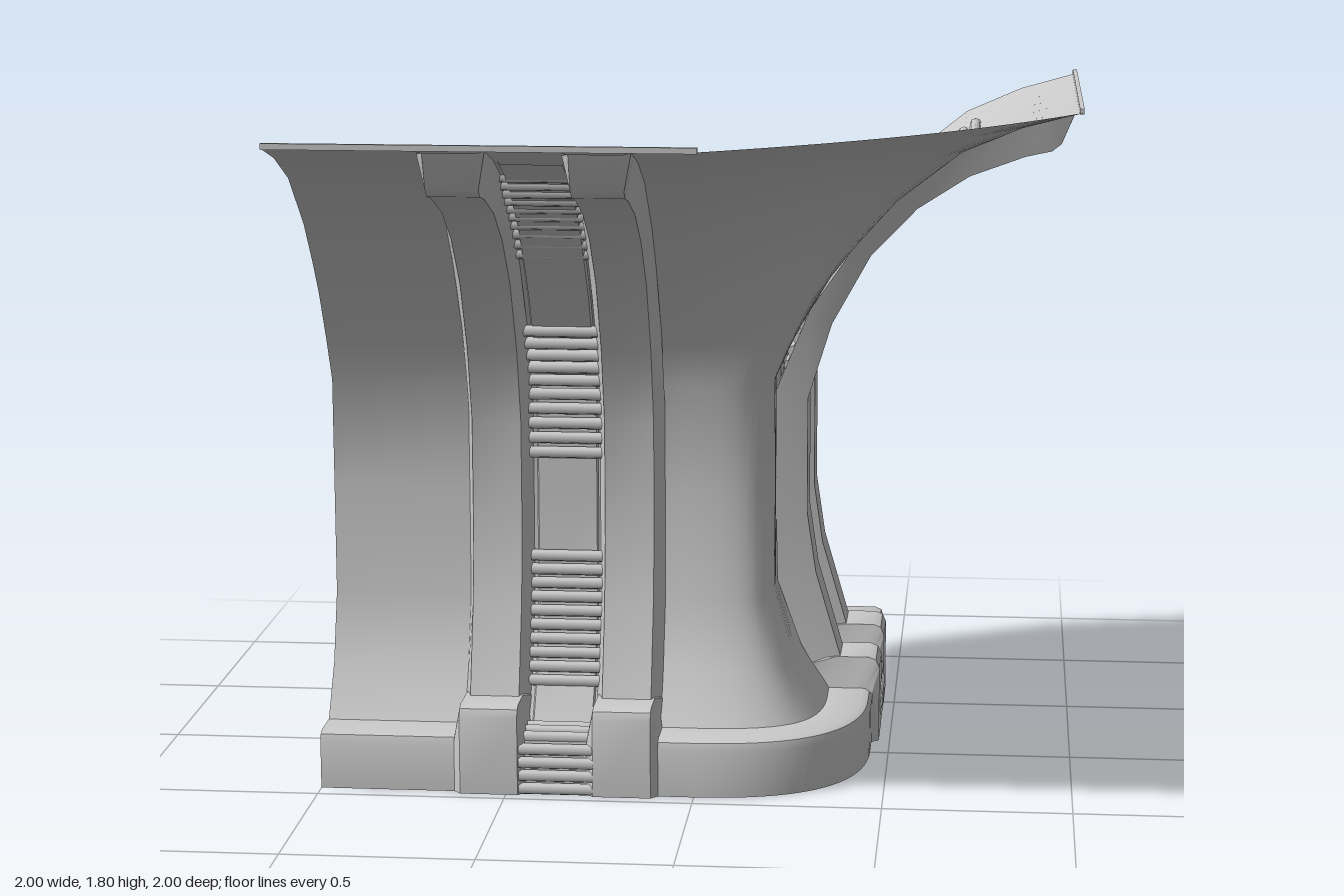
import * as THREE from 'three';
import { toCreasedNormals } from 'three/addons/utils/BufferGeometryUtils.js';

const material = new THREE.MeshStandardMaterial({ color: 0xcccccc, side: THREE.DoubleSide });

// Wall profile as [distance outwards, height], from the top edge to the floor
const profile = [
  [1, 1.785], [0.84, 1.74], [0.68, 1.67], [0.505, 1.53], [0.4, 1.41], [0.33, 1.32],
  [0.245, 1.18], [0.18, 1.06], [0.18, 0.77], [0.18, 0.475], [0.24, 0.29], [0.33, 0.155],
  [0.425, 0.155], [0.443, 0.147], [0.45, 0.125], [0.45, 0],
];

// Rows of points joined into a sheet
function loft(rows, crease) {
  const cols = rows[0].length, index = [];
  for (let j = 0; j < rows.length - 1; j++) {
    for (let i = 0; i < cols - 1; i++) {
      const a = j * cols + i, b = a + cols;
      index.push(a, b, a + 1, a + 1, b, b + 1);
    }
  }
  const g = new THREE.BufferGeometry();
  g.setAttribute('position', new THREE.Float32BufferAttribute(rows.flat(2), 3));
  g.setIndex(index);
  return toCreasedNormals(g, crease);
}

function add(parent, name, geometry) {
  const mesh = new THREE.Mesh(geometry, material);
  mesh.name = name;
  parent.add(mesh);
  return mesh;
}

// One row of the wall: straight arm, curved corner, straight arm
function wallRow([d, y]) {
  const mix = THREE.MathUtils.lerp;
  const upper = y > 0.77;
  const t = (d - 0.18) / (upper ? 0.82 : 0.27);
  const start = mix(-0.1, upper ? 0.06 : 0, t);
  const cx = mix(0.2, upper ? 0.47 : 0.3, t);
  const cz = mix(0.2, upper ? 0.74 : 0.45, t);
  const bend = new THREE.CubicBezierCurve(
    new THREE.Vector2(start, d), new THREE.Vector2(cx, cz),
    new THREE.Vector2(cz, cx), new THREE.Vector2(d, start));
  const plan = bend.getPoints(20).map(p => [p.x, y, p.y]);
  return [[-1, y, d], ...plan, [d, y, -1]];
}

// Rib rows: [wall distance, wall height, crest distance, crest height]
const ribRows = [
  [0.985, 1.78, 0.985, 1.775], [0.93, 1.765, 0.945, 1.68], [0.9, 1.757, 0.92, 1.66],
  [0.84, 1.74, 0.85, 1.645], [0.68, 1.67, 0.7, 1.59], [0.505, 1.53, 0.56, 1.5],
  [0.4, 1.41, 0.435, 1.37], [0.27, 1.22, 0.33, 1.18], [0.18, 1.0, 0.265, 0.97],
  [0.18, 0.65, 0.265, 0.65], [0.185, 0.46, 0.29, 0.48], [0.25, 0.28, 0.36, 0.24],
  [0.32, 0.16, 0.4, 0.16],
];
const footRows = [
  [0.27, 0.22, 0.29, 0.235], [0.3, 0.155, 0.35, 0.24], [0.4, 0.155, 0.44, 0.24],
  [0.43, 0.155, 0.46, 0.232], [0.45, 0.14, 0.47, 0.21], [0.45, 0, 0.47, 0],
];

// Bevelled strip standing on the wall between x0 and x1
function strip(rows, x0, x1, bevel) {
  return loft(rows.map(([d, y, D, Y]) => [
    [x0, y, d], [x0 + bevel, Y, D], [x1 - bevel, Y, D], [x1, y, d],
  ]), 0.5);
}

// Grilles: path as [distance, height], number of bars, bar length
const grilles = [
  { path: [[0.43, 1.45], [0.505, 1.53], [0.71, 1.685]], count: 10, width: 0.36 },
  { path: [[0.285, 1.22], [0.21, 1.06], [0.195, 0.875]], count: 10, width: 0.2 },
  { path: [[0.195, 0.59], [0.2, 0.475], [0.265, 0.26]], count: 10, width: 0.2 },
  { path: [[0.36, 0.158], [0.43, 0.152], [0.455, 0.12], [0.455, 0.015]], count: 7, width: 0.2 },
];

function createArm() {
  const arm = new THREE.Group();
  arm.name = 'armDetails';
  const middle = -0.365;

  // Pair of ribs with their feet
  for (const [x0, x1] of [[-0.63, -0.455], [-0.275, -0.1]]) {
    add(arm, 'rib', strip(ribRows, x0, x1, 0.022));
    add(arm, 'ribFoot', strip(footRows, x0 - 0.01, x1 + 0.005, 0.018));
  }

  // Slim panel behind the grilles
  const panel = profile.slice(1, 12).map(([d, y]) => [d, y, d + 0.008, y - (y > 1.1 ? 0.008 : 0)]);
  add(arm, 'channelPanel', strip(panel, -0.445, -0.28, 0.004));

  // Grille bars
  for (const { path, count, width } of grilles) {
    const grille = new THREE.Group();
    grille.name = 'grille';
    const curve = new THREE.CatmullRomCurve3(path.map(([d, y]) => new THREE.Vector3(0, y, d)));
    const bar = new THREE.CylinderGeometry(0.016, 0.016, width, 8).rotateZ(Math.PI / 2);
    for (const p of curve.getSpacedPoints(count - 1)) {
      add(grille, 'grilleBar', bar).position.set(middle, p.y, p.z);
    }
    arm.add(grille);
  }

  // Thin lip along the top edge
  add(arm, 'topLip', new THREE.BoxGeometry(1.06, 0.015, 0.012)).position.set(-0.47, 1.788, 0.994);
  return arm;
}

export function createModel() {
  const model = new THREE.Group();
  model.name = 'cornerWall';
  add(model, 'wall', loft(profile.map(wallRow), 0.7));

  // The second arm mirrors the first across the diagonal
  const frontArm = createArm();
  const sideArm = createArm();
  sideArm.rotation.y = Math.PI / 2;
  sideArm.scale.x = -1;
  model.add(frontArm, sideArm);
  return model;
}
